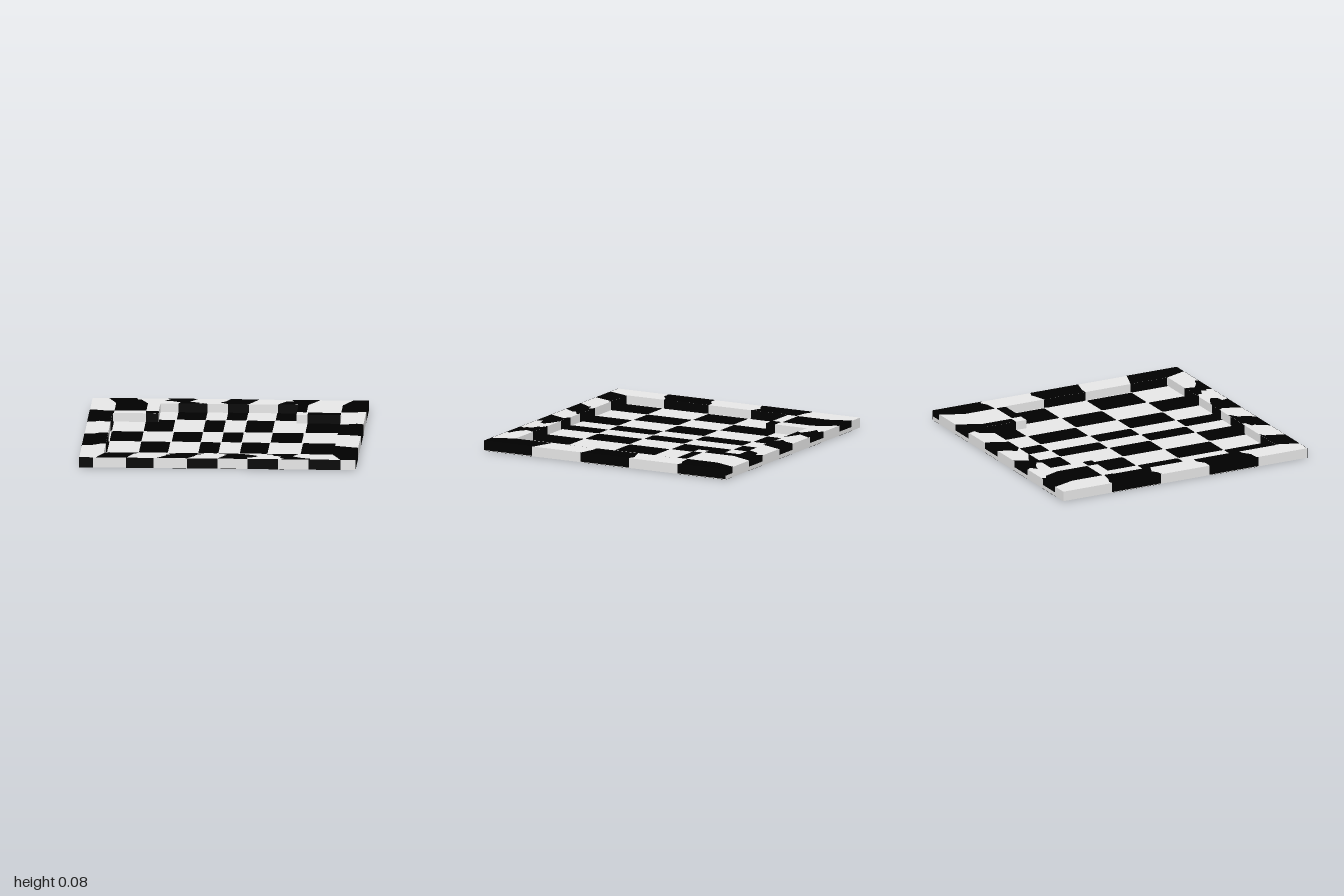
import * as THREE from 'three';

const H = 0.075, FLOOR = 0.01, E = 0.001;

const light = new THREE.MeshStandardMaterial({ color: 0xe6e6e6 });
light.name = 'lightGrey';
const dark = new THREE.MeshStandardMaterial({ color: 0x000000, side: THREE.DoubleSide });
dark.name = 'black';

// Plan outlines are [x, z] pairs
const toShape = (pts) => new THREE.Shape(pts.map(([x, z]) => new THREE.Vector2(x, -z)));
const rect = (x0, x1, z0, z1) => [[x0, z0], [x1, z0], [x1, z1], [x0, z1]];

// Rectangle with slightly clipped corners
function check(x0, x1, z0, z1, c = 0.01) {
  return [[x0 + c, z0], [x1 - c, z0], [x1, z0 + c], [x1, z1 - c],
    [x1 - c, z1], [x0 + c, z1], [x0, z1 - c], [x0, z0 + c]];
}

function add(group, name, geometry, material) {
  const mesh = new THREE.Mesh(geometry, material);
  mesh.name = name;
  group.add(mesh);
}

// Solid slab from a plan shape between two heights
function slab(shape, y0, y1) {
  const g = new THREE.ExtrudeGeometry(shape, { depth: y1 - y0, bevelEnabled: false });
  return g.rotateX(-Math.PI / 2).translate(0, y0, 0);
}

// Flat painted patch at height y
const patch = (pts, y) => new THREE.ShapeGeometry(toShape(pts)).rotateX(-Math.PI / 2).translate(0, y, 0);

// Upright painted strip along x or along z
function strip(axis, at, from, to, y0, y1) {
  const g = new THREE.PlaneGeometry(to - from, y1 - y0);
  const mid = (from + to) / 2, y = (y0 + y1) / 2;
  return axis === 'x' ? g.translate(mid, y, at) : g.rotateY(Math.PI / 2).translate(at, y, mid);
}

export function createModel() {
  const model = new THREE.Group();
  model.name = 'checkeredTray';

  // Raised rim and thin floor; the recess is narrower at the back
  const recess = [[-0.83, 0.835], [0.83, 0.835], [0.83, -0.5], [0.5, -0.5],
    [0.5, -0.835], [-0.5, -0.835], [-0.5, -0.5], [-0.83, -0.5]];
  const rim = toShape(rect(-1 + E, 1 - E, -1 + E, 1 - E));
  rim.holes.push(toShape(recess));
  add(model, 'rim', slab(rim, E, H - E), light);
  add(model, 'floor', slab(toShape(recess), E, FLOOR), light);

  // Checks on the floor, running on under the rim at the edges
  const floorChecks = new THREE.Group();
  floorChecks.name = 'floorChecks';
  const rows = [[-0.85, -0.582], [-0.574, -0.183], [-0.174, 0.157], [0.163, 0.532], [0.535, 0.85]];
  const columns = [
    [[-0.82, -0.59], [-0.37, -0.16], [-0.01, 0.135], [0.345, 0.57], [0.82, 0.86]],
    [[-0.86, -0.82], [-0.59, -0.38], [-0.16, -0.015], [0.14, 0.34], [0.58, 0.82]],
  ];
  rows.forEach(([z0, z1], j) => {
    for (const [x0, x1] of columns[j % 2]) {
      add(floorChecks, 'floorCheck', patch(check(x0, x1, z0, z1), FLOOR + E), dark);
    }
  });
  model.add(floorChecks);

  // Warped checks on top of the rim
  const rimChecks = new THREE.Group();
  rimChecks.name = 'rimChecks';
  const backPatches = [
    [[-0.88, -1], [-0.67, -1], [-0.68, -0.97], [-0.64, -0.95], [-0.59, -0.83], [-0.59, -0.585], [-0.82, -0.585], [-0.82, -0.83]],
    rect(-0.59, -0.5, -0.575, -0.5),
    [[-0.46, -1], [-0.23, -1], [-0.29, -0.9], [-0.24, -0.88], [-0.16, -0.835], [-0.37, -0.835], [-0.35, -0.87], [-0.41, -0.91], [-0.48, -0.93], [-0.43, -0.97]],
    [[0, -1], [0.21, -1], [0.14, -0.835], [-0.01, -0.835], [-0.07, -0.88], [-0.03, -0.92]],
    [[0.44, -1], [0.65, -1], [0.61, -0.91], [0.57, -0.83], [0.57, -0.585], [0.5, -0.585], [0.5, -0.835], [0.35, -0.835], [0.4, -0.93], [0.46, -0.95]],
    [[0.89, -1], [1, -1], [1, -0.61], [0.97, -0.62], [0.92, -0.595], [0.82, -0.585], [0.82, -0.83]],
    rect(0.58, 0.82, -0.575, -0.5),
  ];
  const sidePatches = [
    [[-1, -0.6], [-0.97, -0.61], [-0.92, -0.585], [-0.82, -0.57], [-0.82, -0.5], [-0.83, -0.5], [-0.83, -0.2], [-0.87, -0.21], [-0.91, -0.23], [-0.95, -0.2], [-1, -0.19]],
    [[-1, 0.2], [-0.93, 0.2], [-0.88, 0.16], [-0.83, 0.16], [-0.83, 0.53], [-0.87, 0.54], [-0.92, 0.58], [-1, 0.585]],
    [[1, -0.2], [0.95, -0.22], [0.9, -0.2], [0.83, -0.18], [0.83, 0.16], [0.88, 0.16], [1, 0.19]],
    [[1, 0.59], [0.83, 0.53], [0.83, 0.835], [0.89, 1], [1, 1]],
  ];
  const frontPatches = [
    [[-0.82, 0.835], [-0.57, 0.835], [-0.61, 0.86], [-0.66, 1], [-0.88, 1]],
    [[-0.31, 0.835], [-0.1, 0.835], [-0.11, 0.85], [-0.17, 0.89], [-0.16, 0.91], [-0.22, 1], [-0.44, 1], [-0.37, 0.9], [-0.38, 0.88], [-0.31, 0.86]],
    [[0.03, 0.835], [0.17, 0.835], [0.25, 0.87], [0.29, 0.9], [0.27, 0.94], [0.21, 0.95], [0.22, 1], [0, 1], [0.04, 0.91], [0.06, 0.87]],
    [[0.35, 0.835], [0.57, 0.835], [0.54, 0.9], [0.61, 0.95], [0.67, 0.97], [0.67, 1], [0.45, 1], [0.48, 0.96], [0.45, 0.95], [0.46, 0.91], [0.39, 0.88], [0.41, 0.86]],
  ];
  for (const pts of [...backPatches, ...sidePatches, ...frontPatches]) {
    add(rimChecks, 'rimCheck', patch(pts, H), dark);
  }
  model.add(rimChecks);

  // Dark strips on the inner walls of the recess
  const innerStrips = new THREE.Group();
  innerStrips.name = 'innerWallChecks';
  const inner = [
    ['x', -0.835 + E, [[-0.37, -0.16], [-0.01, 0.14], [0.35, 0.5]]],
    ['x', 0.835 - E, [[-0.82, -0.59], [-0.35, -0.13], [0.01, 0.15], [0.35, 0.57]]],
    ['x', -0.5 + E, [[-0.59, -0.5], [0.58, 0.82]]],
    ['z', -0.83 + E, [[-0.5, -0.19], [0.16, 0.53]]],
    ['z', 0.83 - E, [[-0.18, 0.16], [0.53, 0.83]]],
    ['z', -0.5 + E, [[-0.575, -0.5]]],
    ['z', 0.5 - E, [[-0.83, -0.585]]],
  ];
  for (const [axis, at, spans] of inner) {
    for (const [a, b] of spans) add(innerStrips, 'innerWallCheck', strip(axis, at, a, b, FLOOR, H), dark);
  }
  model.add(innerStrips);

  // Dark strips on the outer walls
  const outerStrips = new THREE.Group();
  outerStrips.name = 'outerWallChecks';
  const outer = [
    ['x', 1, 0, [[-1, -0.9], [-0.66, -0.46], [-0.22, 0], [0.22, 0.44], [0.66, 0.89]]],
    ['x', -1, 0.03, [[-0.87, -0.69], [-0.45, -0.25], [0.01, 0.2], [0.45, 0.65], [0.9, 1]]],
    ['z', 1, 0.005, [[-1, -0.6], [-0.2, 0.2], [0.6, 1]]],
    ['z', -1, 0.005, [[-0.6, -0.2], [0.2, 0.6]]],
  ];
  for (const [axis, at, y0, spans] of outer) {
    for (const [a, b] of spans) add(outerStrips, 'outerWallCheck', strip(axis, at, a, b, y0, H), dark);
  }
  model.add(outerStrips);

  // Regular checks on the underside, in step with the side walls
  const underChecks = new THREE.Group();
  underChecks.name = 'undersideChecks';
  const xs = [-1, -0.89, -0.665, -0.445, -0.22, 0, 0.22, 0.445, 0.665, 0.89, 1];
  for (let j = 0; j < 5; j++) {
    for (let i = (j + 1) % 2; i < 10; i += 2) {
      const z1 = 1 - 0.4 * j;
      add(underChecks, 'undersideCheck', patch(check(xs[i], xs[i + 1], z1 - 0.4, z1), 0), dark);
    }
  }
  model.add(underChecks);

  return model;
}
